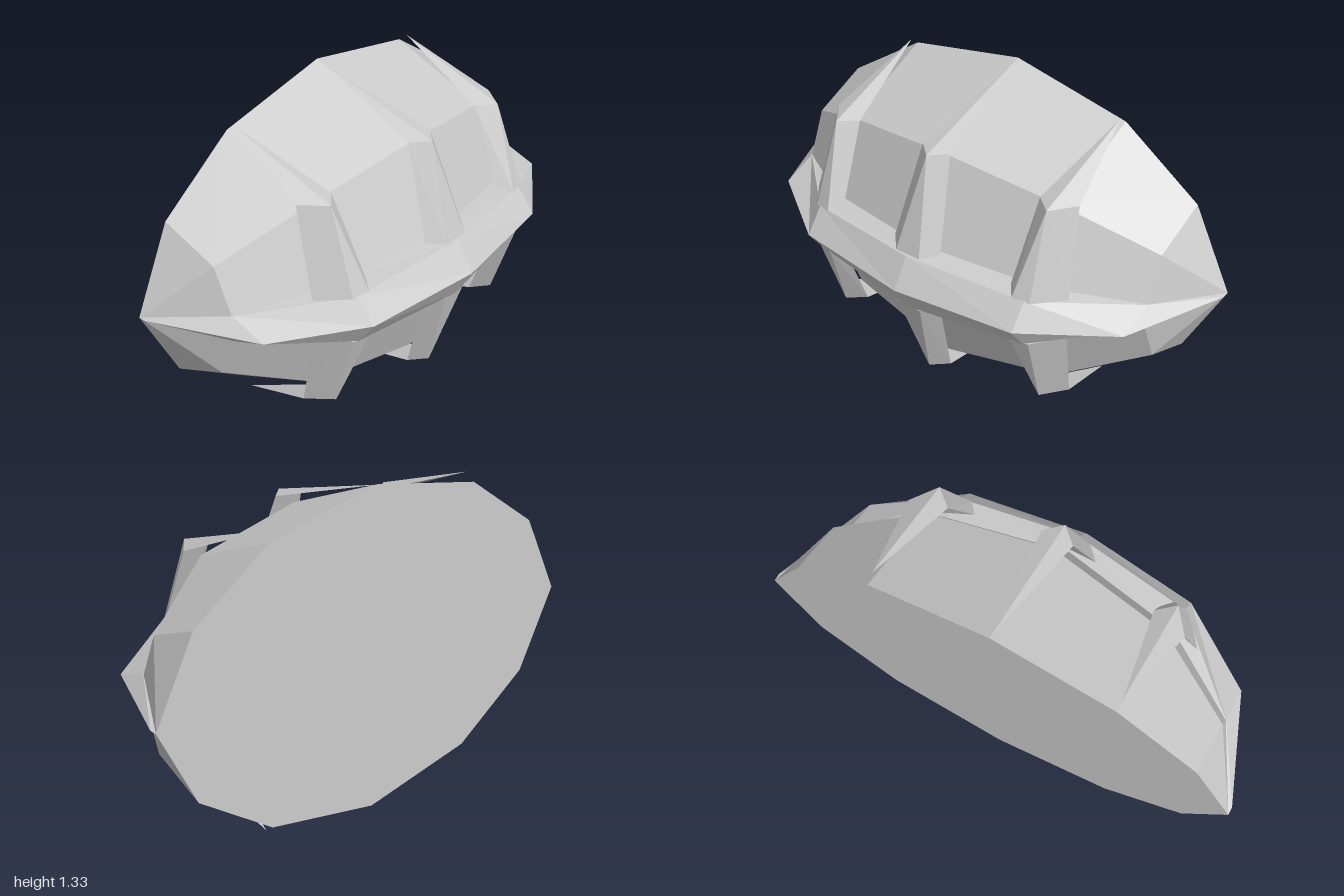
import * as THREE from 'three';
import { ConvexGeometry } from 'three/addons/geometries/ConvexGeometry.js';

const MID = 0.667;   // height of the symmetry plane
const BACK = -0.383; // flat back plane
const material = new THREE.MeshStandardMaterial({ color: 0xcccccc, flatShading: true });

// Half-round faceted body, turned about the x axis, closed by a flat back
const OUTLINE = [[0, -1], [0.333, -0.833], [0.567, -0.5], [0.667, 0], [0.567, 0.5], [0.333, 0.833], [0, 1]];

function createBody() {
  const body = new THREE.Group();
  body.name = 'body';
  const profile = OUTLINE.map(([r, x]) => new THREE.Vector2(r, x));
  const domeGeometry = new THREE.LatheGeometry(profile, 4, -Math.PI / 2, Math.PI);
  domeGeometry.rotateZ(Math.PI / 2);
  const dome = new THREE.Mesh(domeGeometry, material);
  dome.name = 'dome';

  const edge = [
    ...OUTLINE.map(([r, x]) => new THREE.Vector2(x, r)),
    ...OUTLINE.slice(1, -1).reverse().map(([r, x]) => new THREE.Vector2(x, -r)),
  ];
  const backGeometry = new THREE.ShapeGeometry(new THREE.Shape(edge));
  backGeometry.rotateY(Math.PI);
  const back = new THREE.Mesh(backGeometry, material);
  back.name = 'backPlate';

  body.add(dome, back);
  body.position.set(0, MID, BACK);
  return body;
}

// Pointed belt around the front: a wedge section swept from tip to tip
function createBelt() {
  // x, apex z, edge z, edge half height, inner z, inner half height
  const half = [
    [0, 0.383, 0.31, 0.12, 0.23, 0.13],
    [0.5, 0.315, 0.24, 0.1, 0.13, 0.108],
    [0.833, 0.08, -0.07, 0.055, -0.1, 0.055],
    [1, -0.35, -0.35, 0, -0.383, 0],
  ];
  const columns = [...half.slice(1).reverse().map(([x, ...rest]) => [-x, ...rest]), ...half];
  const positions = [];
  const index = [];
  columns.forEach(([x, apexZ, edgeZ, edgeH, innerZ, innerH], i) => {
    const section = [[innerH, innerZ], [edgeH, edgeZ], [0, apexZ], [-edgeH, edgeZ], [-innerH, innerZ]];
    section.forEach(([y, z], j) => {
      positions.push(x, MID + y, z);
      if (i < columns.length - 1 && j < 4) {
        const a = i * 5 + j, b = a + 5;
        index.push(a, a + 1, b + 1, a, b + 1, b);
      }
    });
  });
  const geometry = new THREE.BufferGeometry();
  geometry.setAttribute('position', new THREE.Float32BufferAttribute(positions, 3));
  geometry.setIndex(index);
  geometry.computeVertexNormals();
  const belt = new THREE.Mesh(geometry, material);
  belt.name = 'belt';
  return belt;
}

// Rib corners, as offsets from the symmetry plane: base by the belt, shoulder, spike tip
const CENTRE_RIB = {
  base: [[-0.11, 0.133, 0.24], [-0.055, 0.123, 0.3], [0.055, 0.123, 0.3], [0.11, 0.133, 0.24]],
  shoulder: [[-0.065, 0.503, 0.12], [0, 0.503, 0.18], [0.065, 0.503, 0.12]],
  tip: [0, 0.664, -0.38],
};
const SIDE_RIB = {
  base: [[0.615, 0.088, 0.12], [0.52, 0.095, 0.235], [0.45, 0.1, 0.25], [0.41, 0.115, 0.2]],
  shoulder: [[0.575, 0.435, 0.02], [0.5, 0.435, 0.12], [0.43, 0.435, 0.06]],
  tip: [0.5, 0.598, -0.345],
};

function createRib({ base, shoulder, tip }, sideX, sideY, name) {
  const place = ([x, y, z]) => new THREE.Vector3(x * sideX, MID + y * sideY, z);
  const rib = new THREE.Group();
  rib.name = name;
  const bar = new THREE.Mesh(new ConvexGeometry([...base, ...shoulder].map(place)), material);
  bar.name = 'ribBar';
  const spike = new THREE.Mesh(new ConvexGeometry([...shoulder, tip].map(place)), material);
  spike.name = 'ribSpike';
  rib.add(bar, spike);
  return rib;
}

export function createModel() {
  const model = new THREE.Group();
  model.name = 'ribbedHalfShell';
  model.add(createBody(), createBelt());
  for (const [sideY, level] of [[1, 'upper'], [-1, 'lower']]) {
    model.add(
      createRib(CENTRE_RIB, 1, sideY, `${level}CentreRib`),
      createRib(SIDE_RIB, 1, sideY, `${level}LeftRib`),
      createRib(SIDE_RIB, -1, sideY, `${level}RightRib`),
    );
  }
  return model;
}
